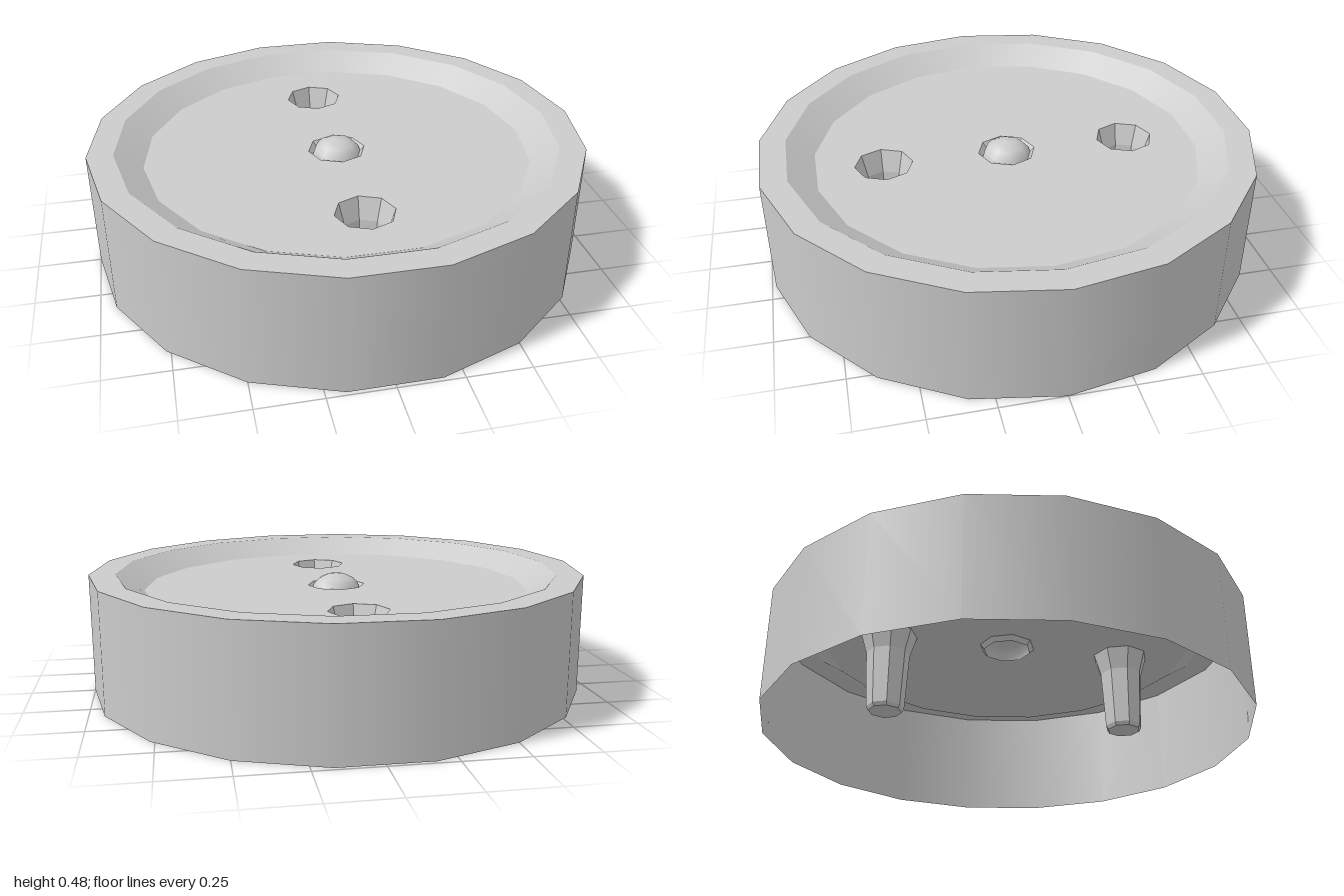
import * as THREE from 'three';

const SIDES = 18, HOLE_SIDES = 8;
const RIM_Y = 0.48, FLOOR_Y = 0.41, FLOOR_R = 0.785;
const HOLE_R = 0.117, PEG_Z = 0.505;

const smooth = new THREE.MeshStandardMaterial({ color: 0xcccccc, side: THREE.DoubleSide });
const faceted = new THREE.MeshStandardMaterial({ color: 0xcccccc, side: THREE.DoubleSide, flatShading: true });

// Revolved thin surface, with a corner lying on the x axis
function lathe(name, profile, sides, material) {
  const points = profile.map(([r, y]) => new THREE.Vector2(r, y));
  const mesh = new THREE.Mesh(new THREE.LatheGeometry(points, sides, Math.PI / 2), material);
  mesh.name = name;
  return mesh;
}

function polygon(radius, sides, cy = 0) {
  return Array.from({ length: sides }, (_, i) => {
    const a = (i / sides) * Math.PI * 2;
    return new THREE.Vector2(Math.cos(a) * radius, cy + Math.sin(a) * radius);
  });
}

export function createModel() {
  const model = new THREE.Group();
  model.name = 'roundCap';

  // Shell: open underneath, flat rim and a bevel down to the recessed floor
  model.add(
    lathe('outerWall', [[1, 0], [1, RIM_Y]], SIDES, smooth),
    lathe('rim', [[1, RIM_Y], [0.895, RIM_Y]], SIDES, smooth),
    lathe('bevel', [[0.895, RIM_Y], [FLOOR_R, FLOOR_Y]], SIDES, smooth),
  );

  // Floor with three octagonal openings
  const shape = new THREE.Shape(polygon(FLOOR_R, SIDES));
  for (const z of [-PEG_Z, 0, PEG_Z]) {
    shape.holes.push(new THREE.Path(polygon(HOLE_R, HOLE_SIDES, z)));
  }
  const floor = new THREE.Mesh(new THREE.ShapeGeometry(shape).rotateX(-Math.PI / 2), smooth);
  floor.name = 'floor';
  floor.position.y = FLOOR_Y;
  model.add(floor);

  // Hollow tapered pegs hanging below the outer openings
  for (const [name, z] of [['frontPeg', PEG_Z], ['backPeg', -PEG_Z]]) {
    const peg = lathe(name, [
      [HOLE_R, FLOOR_Y], [0.09, 0.32], [0.077, 0.08], [0.068, 0.065], [0, 0.065],
    ], HOLE_SIDES, faceted);
    peg.position.z = z;
    model.add(peg);
  }

  // Central button: shallow recess with a dome rising from it
  model.add(lathe('buttonRecess', [[HOLE_R, FLOOR_Y], [0.1, 0.39]], HOLE_SIDES, faceted));
  const dome = Array.from({ length: 5 }, (_, i) => {
    const a = (i / 4) * Math.PI / 2;
    return [0.1 * Math.cos(a), 0.39 + 0.068 * Math.sin(a)];
  });
  dome[4][0] = 0;
  model.add(lathe('buttonDome', dome, HOLE_SIDES, smooth));

  return model;
}
